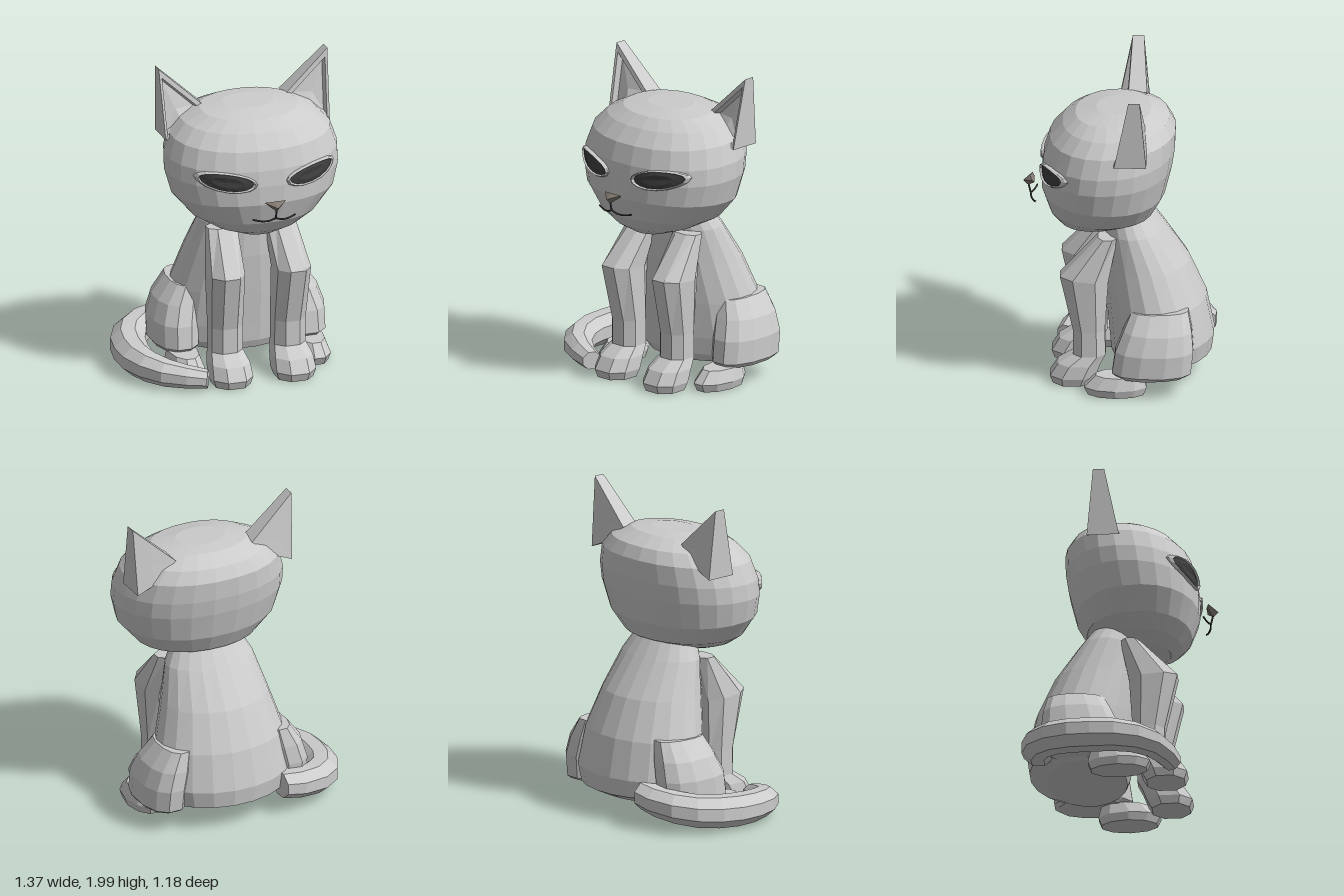
import * as THREE from 'three';
import { ConvexGeometry } from 'three/addons/geometries/ConvexGeometry.js';

const CX = 0.13; // the cat's own centre line
const V = (x, y, z) => new THREE.Vector3(x, y, z);

export function createModel() {
  const root = new THREE.Group();
  const grey = new THREE.MeshStandardMaterial({ color: 0xcccccc, flatShading: true });
  const dark = new THREE.MeshStandardMaterial({ color: 0x404040, flatShading: true });
  const noseMat = new THREE.MeshStandardMaterial({ color: 0x807870, flatShading: true });

  function add(name, geometry, material = grey) {
    const mesh = new THREE.Mesh(geometry, material);
    mesh.name = name;
    root.add(mesh);
  }

  // Closed skin through loops of points; side -1 mirrors it about the centre line
  function loft(rings, side = 1) {
    const loops = rings.map((ring) => {
      const pts = ring.map((p) => V(CX + side * p.x, p.y, p.z));
      return side < 0 ? pts.reverse() : pts;
    });
    const pos = [];
    const tri = (...pts) => pts.forEach((p) => pos.push(p.x, p.y, p.z));
    const middle = (loop) => loop.reduce((m, p) => m.add(p), V(0, 0, 0)).divideScalar(loop.length);
    const first = loops[0], last = loops[loops.length - 1];
    const c0 = middle(first), c1 = middle(last), n = first.length;
    for (let j = 0; j < n; j++) {
      const k = (j + 1) % n;
      for (let i = 0; i + 1 < loops.length; i++) {
        const a = loops[i], b = loops[i + 1];
        tri(a[j], a[k], b[k]);
        tri(a[j], b[k], b[j]);
      }
      tri(c0, first[k], first[j]);
      tri(c1, last[j], last[k]);
    }
    const g = new THREE.BufferGeometry();
    g.setAttribute('position', new THREE.Float32BufferAttribute(pos, 3));
    g.computeVertexNormals();
    return g;
  }

  // Tilted oval loop from its front and back points (z, y), half width and side offset
  function oval([zf, yf, zb, yb, rx, x = 0], sides, power = 2) {
    const bend = (v) => Math.sign(v) * Math.abs(v) ** (2 / power);
    return Array.from({ length: sides }, (_, i) => {
      const a = ((i + 0.5) / sides) * Math.PI * 2;
      const t = (1 + bend(Math.cos(a))) / 2;
      return V(x + rx * bend(Math.sin(a)), yb + (yf - yb) * t, zb + (zf - zb) * t);
    });
  }
  const solid = (rows, sides, side = 1, power = 2) =>
    loft(rows.map((r) => oval(r, sides, power)), side);

  // Head and body
  add('head', solid([
    [0.30, 0.975, 0.02, 1.0, 0.15],
    [0.37, 1.02, -0.1, 1.04, 0.28],
    [0.43, 1.10, -0.22, 1.09, 0.40],
    [0.477, 1.24, -0.285, 1.21, 0.51],
    [0.478, 1.36, -0.33, 1.39, 0.55],
    [0.467, 1.46, -0.347, 1.50, 0.548],
    [0.43, 1.577, -0.352, 1.625, 0.51],
    [0.35, 1.667, -0.31, 1.70, 0.43],
    [0.27, 1.725, -0.2, 1.755, 0.31],
    [0.14, 1.757, -0.1, 1.765, 0.16],
  ], 24, 1, 2.15));
  add('body', solid([
    [0.03, 0.12, -0.47, 0.12, 0.34],
    [0.05, 0.17, -0.575, 0.17, 0.42],
    [0.06, 0.28, -0.59, 0.28, 0.45],
    [0.08, 0.50, -0.54, 0.52, 0.42],
    [0.10, 0.75, -0.435, 0.757, 0.35],
    [0.10, 0.97, -0.28, 0.98, 0.29],
    [0.10, 1.12, -0.18, 1.12, 0.21],
  ], 20));

  // Eye outline hugging the curve of the face
  const eyeLoop = (scale, lift) => Array.from({ length: 16 }, (_, i) => {
    const a = (i / 16) * Math.PI * 2, c = Math.cos(a), s = Math.sin(a);
    const u = 0.275 + 0.16 * scale * c;
    const y = 1.405 + scale * (0.02 * c + (s > 0 ? 0.05 : 0.062) * s);
    const z = 0.075 + 0.4 * (1 - (u / 0.55) ** 2.15) ** (1 / 2.15);
    return V(u, y, z + lift);
  });

  for (const side of [1, -1]) {
    const tag = side > 0 ? 'left' : 'right';

    // Legs and paws
    add(tag + 'FrontLeg', solid([
      [0.41, 0.01, 0.16, 0.01, 0.12, 0.205],
      [0.43, 0.06, 0.13, 0.06, 0.137, 0.205],
      [0.38, 0.14, 0.1, 0.14, 0.13, 0.205],
      [0.285, 0.2, 0.07, 0.2, 0.108, 0.205],
      [0.285, 0.36, 0.075, 0.36, 0.108, 0.205],
      [0.37, 0.72, 0.05, 0.69, 0.115, 0.215],
      [0.13, 0.97, 0.0, 0.97, 0.1, 0.19],
    ], 8, side, 2.3));
    add(tag + 'Haunch', solid([
      [0.0, 0.13, -0.43, 0.14, 0.13, 0.41],
      [0.04, 0.16, -0.46, 0.16, 0.145, 0.415],
      [0.02, 0.30, -0.475, 0.30, 0.15, 0.41],
      [-0.03, 0.42, -0.465, 0.42, 0.14, 0.38],
      [-0.08, 0.53, -0.44, 0.54, 0.09, 0.34],
    ], 12, side, 2.3));
    add(tag + 'HindPaw', solid([
      [0.19, 0.01, -0.17, 0.01, 0.1, 0.41],
      [0.215, 0.06, -0.19, 0.06, 0.115, 0.41],
      [0.14, 0.135, -0.17, 0.14, 0.09, 0.41],
    ], 10, side));

    // Ear: back loop, front loop, then a recessed inner loop
    const back = [V(0.55, 2, -0.14), V(0.265, 1.735, -0.165), V(0.4, 1.62, -0.18), V(0.535, 1.56, -0.18)];
    const front = [V(0.55, 2, -0.07), V(0.265, 1.735, -0.05), V(0.4, 1.64, 0.035), V(0.535, 1.56, 0.02)];
    const hub = V(0.46, 1.72, -0.03);
    const rim = front.map((p) => p.clone().lerp(hub, 0.2));
    const inner = front.map((p) => p.clone().lerp(hub, 0.3).add(V(0, 0, -0.04)));
    add(tag + 'Ear', loft([back, front, rim, inner], side));

    // Eye with a raised lid around it
    add(tag + 'Eyelid', loft([eyeLoop(1.13, -0.04), eyeLoop(1.13, 0.008), eyeLoop(1.04, 0.02), eyeLoop(0.96, 0)], side));
    add(tag + 'Eye', loft([eyeLoop(1, -0.02), eyeLoop(0.97, 0.006), eyeLoop(0.6, 0.012)], side), dark);

    // Half of the smile
    const lip = new THREE.CatmullRomCurve3([
      V(0, 1.175, 0.545), V(0.04, 1.16, 0.54), V(0.09, 1.157, 0.525), V(0.14, 1.168, 0.508),
    ].map((p) => V(CX + side * p.x, p.y, p.z)));
    add(tag + 'Lip', new THREE.TubeGeometry(lip, 8, 0.006, 5), dark);
  }

  // Nose and the line below it
  add('nose', new ConvexGeometry([
    [-0.07, 1.28, 0.535], [0.07, 1.28, 0.535], [0, 1.286, 0.55], [0, 1.254, 0.593],
    [0, 1.222, 0.56], [-0.05, 1.262, 0.522], [0.05, 1.262, 0.522],
  ].map(([x, y, z]) => V(CX + x, y, z))), noseMat);
  const line = new THREE.LineCurve3(V(CX, 1.235, 0.56), V(CX, 1.172, 0.545));
  add('mouthLine', new THREE.TubeGeometry(line, 2, 0.006, 5), dark);

  // Tail curling around the right side to the front paw
  const path = new THREE.CatmullRomCurve3([
    V(-0.16, 0.2, -0.495), V(-0.36, 0.17, -0.48), V(-0.52, 0.14, -0.35), V(-0.58, 0.12, -0.12),
    V(-0.56, 0.115, 0.08), V(-0.45, 0.1, 0.24), V(-0.24, 0.075, 0.335),
  ].map((p) => p.setX(p.x - CX)));
  const up = V(0, 1, 0);
  const tailRings = Array.from({ length: 11 }, (_, i) => {
    const t = i / 10, c = path.getPointAt(t), d = path.getTangentAt(t).setY(0).normalize();
    const across = up.clone().cross(d);
    const r = 0.1 + 0.02 * Math.sin(Math.PI * t) - 0.035 * t ** 3;
    return Array.from({ length: 8 }, (_, j) => {
      const a = ((j + 0.5) / 8) * Math.PI * 2;
      return c.clone().addScaledVector(across, r * Math.cos(a)).addScaledVector(up, 0.9 * r * Math.sin(a));
    });
  });
  add('tail', loft(tailRings));

  return root;
}
